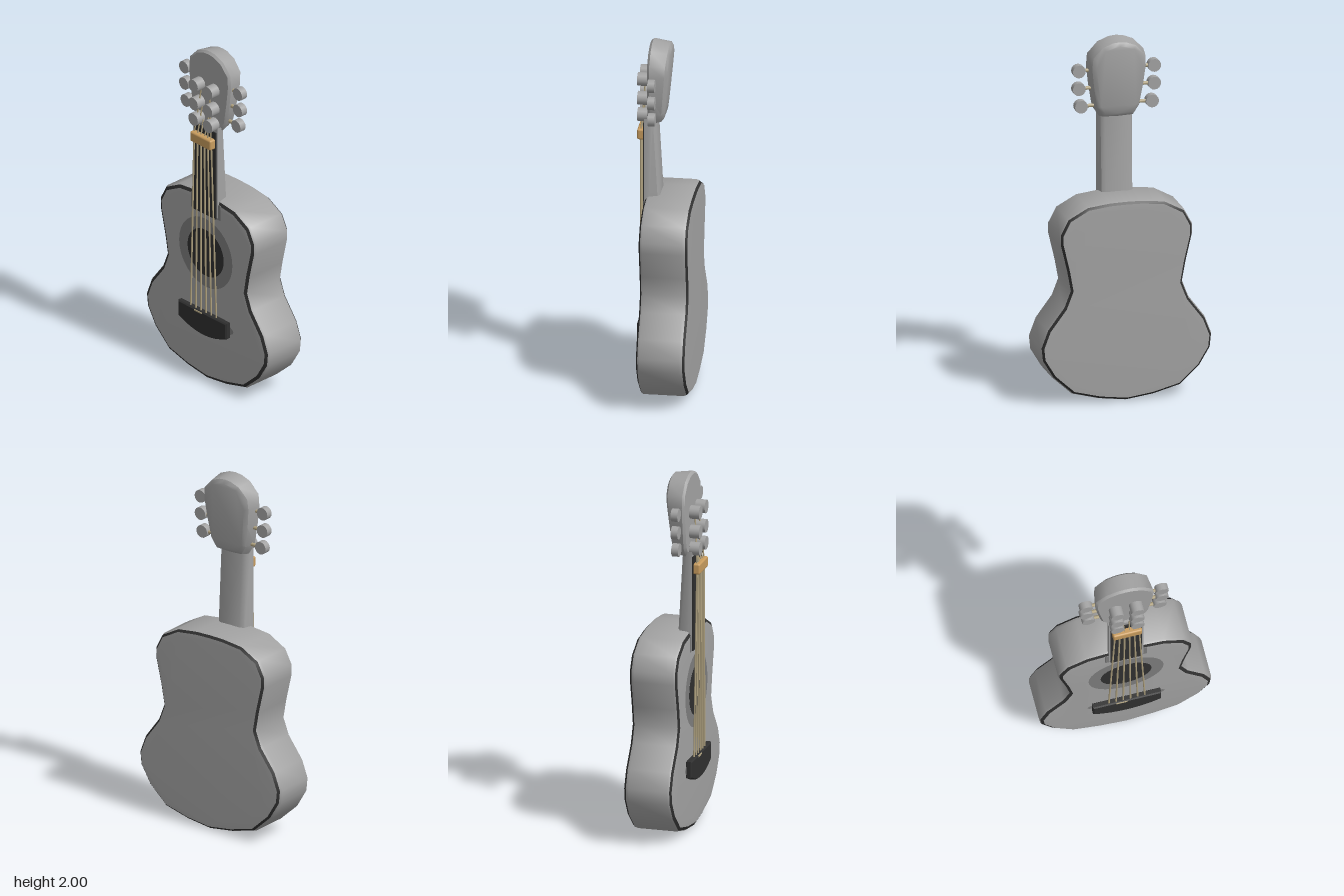
import * as THREE from 'three';
import { toCreasedNormals } from 'three/addons/utils/BufferGeometryUtils.js';
import { RoundedBoxGeometry } from 'three/addons/geometries/RoundedBoxGeometry.js';

const mat = (name, color, side = THREE.FrontSide) => {
  const m = new THREE.MeshStandardMaterial({ color, side });
  m.name = name;
  return m;
};

// Mirrors a right-hand half profile (bottom to top) into a closed loop.
function mirrored(half) {
  const left = half.filter(([x]) => x > 0).map(([x, y]) => [-x, y]).reverse();
  return [...half, ...left].map(([x, y]) => new THREE.Vector2(x, y));
}

// Moves every point of a counter-clockwise loop inwards.
function inset(loop, d) {
  const n = loop.length;
  return loop.map((p, i) => {
    const t = loop[(i + 1) % n].clone().sub(loop[(i + n - 1) % n]).normalize();
    return new THREE.Vector2(p.x - t.y * d, p.y + t.x * d);
  });
}

const ring = (loop, z) => loop.map(p => new THREE.Vector3(p.x, p.y, typeof z === 'function' ? z(p.y) : z));

// Skins a series of equal rings, with optional end caps.
function loft(rings, capStart, capEnd, crease = 0.75) {
  const pos = [];
  const tri = (...v) => v.forEach(p => pos.push(p.x, p.y, p.z));
  const n = rings[0].length;
  for (let k = 0; k < rings.length - 1; k++) {
    const lo = rings[k], hi = rings[k + 1];
    for (let i = 0; i < n; i++) {
      const j = (i + 1) % n;
      tri(lo[i], lo[j], hi[j]);
      tri(lo[i], hi[j], hi[i]);
    }
  }
  const cap = (r, flip) => {
    const flat = r.map(p => new THREE.Vector2(p.x, p.y));
    for (const [a, b, c] of THREE.ShapeUtils.triangulateShape(flat, [])) {
      flip ? tri(r[a], r[c], r[b]) : tri(r[a], r[b], r[c]);
    }
  };
  if (capStart) cap(rings[0], true);
  if (capEnd) cap(rings[rings.length - 1], false);
  const g = new THREE.BufferGeometry();
  g.setAttribute('position', new THREE.Float32BufferAttribute(pos, 3));
  g.computeVertexNormals();
  return toCreasedNormals(g, crease);
}

export function createModel() {
  const model = new THREE.Group();
  model.name = 'guitar';
  const grey = mat('grey wood', 0xa3a3a3);
  const midGrey = mat('mid grey', 0x7e7e7e);
  const dark = mat('dark trim', 0x303030);
  const tan = mat('tan nut', 0xc89c5e);
  const beige = mat('beige string', 0xb3a582);
  const add = (name, geometry, material, x = 0, y = 0, z = 0, parent = model) => {
    const m = new THREE.Mesh(geometry, material);
    m.name = name;
    m.position.set(x, y, z);
    parent.add(m);
    return m;
  };
  const rod = (name, a, b, r, material, sides = 6) => {
    const dir = b.clone().sub(a);
    const mid = a.clone().add(b).multiplyScalar(0.5);
    const m = add(name, new THREE.CylinderGeometry(r, r, dir.length(), sides), material, mid.x, mid.y, mid.z);
    m.quaternion.setFromUnitVectors(new THREE.Vector3(0, 1, 0), dir.normalize());
    return m;
  };
  const V = (x, y, z) => new THREE.Vector3(x, y, z);

  // Hollow-waisted body with dark binding on both rims
  const outline = mirrored([
    [0, 0.005], [0.15, 0.025], [0.3, 0.065], [0.41, 0.165], [0.47, 0.265], [0.478, 0.34],
    [0.44, 0.44], [0.35, 0.56], [0.315, 0.65], [0.335, 0.76], [0.37, 0.91], [0.37, 0.97],
    [0.325, 1.055], [0.215, 1.115], [0.09, 1.13], [0, 1.132],
  ]);
  const rim = inset(outline, 0.006), face = inset(outline, 0.023);
  add('bodySides', loft([ring(rim, -0.142), ring(outline, -0.125), ring(outline, 0.09), ring(rim, 0.101)]), grey);
  add('frontBinding', loft([ring(rim, 0.101), ring(face, 0.11)]), dark);
  add('backBinding', loft([ring(inset(outline, 0.018), -0.154), ring(rim, -0.142)]), dark);
  add('soundboard', loft([ring(face, 0.11), ring(inset(outline, 0.04), 0.112)], false, true), grey);
  add('backPlate', loft([ring(inset(outline, 0.035), -0.155), ring(inset(outline, 0.018), -0.154)], true, false), grey);

  // Sound hole and rosette
  add('rosette', new THREE.RingGeometry(0.14, 0.208, 32), midGrey, 0, 0.78, 0.114);
  add('soundHole', new THREE.CircleGeometry(0.141, 32), dark, 0, 0.78, 0.115);

  // Neck with rounded back, and fingerboard
  const neckRing = (y, back) => [
    [0.116, -0.095], [0.116, 0.095], [0.09, 0.096], [back + 0.012, 0.085], [back, 0.062],
    [back, -0.062], [back + 0.012, -0.085], [0.09, -0.096],
  ].map(([z, x]) => V(x, y, z));
  add('neck', loft([neckRing(1.03, 0.027), neckRing(1.58, 0.058)]), grey);
  add('neckHeelPatch', new THREE.BoxGeometry(0.23, 0.09, 0.004), midGrey, 0, 1.065, 0.113);
  add('fingerboard', new THREE.BoxGeometry(0.172, 0.53, 0.01), dark, 0, 1.285, 0.117);

  // Headstock, tapering towards its back
  const head = mirrored([
    [0, 1.545], [0.09, 1.55], [0.13, 1.61], [0.15, 1.73], [0.163, 1.84], [0.157, 1.91],
    [0.1, 1.972], [0.04, 1.996], [0, 2],
  ]);
  const backZ = y => THREE.MathUtils.mapLinear(y, 1.55, 2, 0.012, -0.027);
  add('headstock', loft([
    ring(inset(head, 0.035), backZ),
    ring(inset(head, 0.014), y => backZ(y) + 0.014),
    ring(head, 0.08),
    ring(inset(head, 0.012), 0.093),
  ], true, true), grey);

  // Nut
  add('nut', new RoundedBoxGeometry(0.162, 0.06, 0.042, 2, 0.01), tan, 0, 1.48, 0.136);

  // Tuning machines: front posts, side stems and side knobs
  const post = new THREE.CylinderGeometry(0.037, 0.037, 0.055, 16).rotateX(Math.PI / 2);
  const stem = new THREE.CylinderGeometry(0.016, 0.016, 0.03, 10).rotateX(Math.PI / 2);
  const knob = new THREE.CylinderGeometry(0.036, 0.036, 0.038, 16).rotateX(Math.PI / 2);
  const rows = [[1.59, 1.62, 0.198], [1.685, 1.72, 0.21], [1.795, 1.82, 0.21]];
  for (const s of [1, -1]) {
    for (const [postY, knobY, x] of rows) {
      add('tuningPost', post, grey, s * 0.056, postY, 0.127);
      add('postStem', stem, dark, s * 0.056, postY, 0.098);
      add('tuningKnob', knob, grey, s * x, knobY, 0.06);
      rod('knobStem', V(s * 0.12, knobY, 0.06), V(s * (x - 0.03), knobY, 0.06), 0.01, beige, 8);
    }
  }

  // Strings: bridge to nut, then on to the posts
  for (let i = 0; i < 6; i++) {
    const t = (i - 2.5) / 2.5, s = Math.sign(t);
    const row = 3 - Math.ceil(Math.abs(t) * 2.5);
    const nutPoint = V(t * 0.066, 1.5, 0.137);
    rod('string', V(t * 0.1, 0.41, 0.13), nutPoint, 0.005, beige);
    rod('stringEnd', nutPoint, V(s * (0.03 - row * 0.006), rows[2 - row][0], 0.115), 0.004, beige);
  }

  // Bridge with curved lower edge on a grey plate
  const bridge = new THREE.Shape();
  bridge.moveTo(-0.182, 0.42);
  bridge.lineTo(-0.182, 0.338);
  bridge.quadraticCurveTo(0, 0.25, 0.182, 0.338);
  bridge.lineTo(0.182, 0.42);
  bridge.closePath();
  add('bridge', new THREE.ExtrudeGeometry(bridge, {
    depth: 0.022, bevelSize: 0.007, bevelThickness: 0.007, bevelSegments: 1, curveSegments: 8,
  }), dark, 0, 0, 0.114);
  const plate = add('bridgePlate', new THREE.CircleGeometry(1, 24), midGrey, 0, 0.375, 0.1135);
  plate.scale.set(0.215, 0.05, 1);
  add('saddle', new THREE.BoxGeometry(0.06, 0.008, 0.006), beige, -0.03, 0.418, 0.142);
  return model;
}
